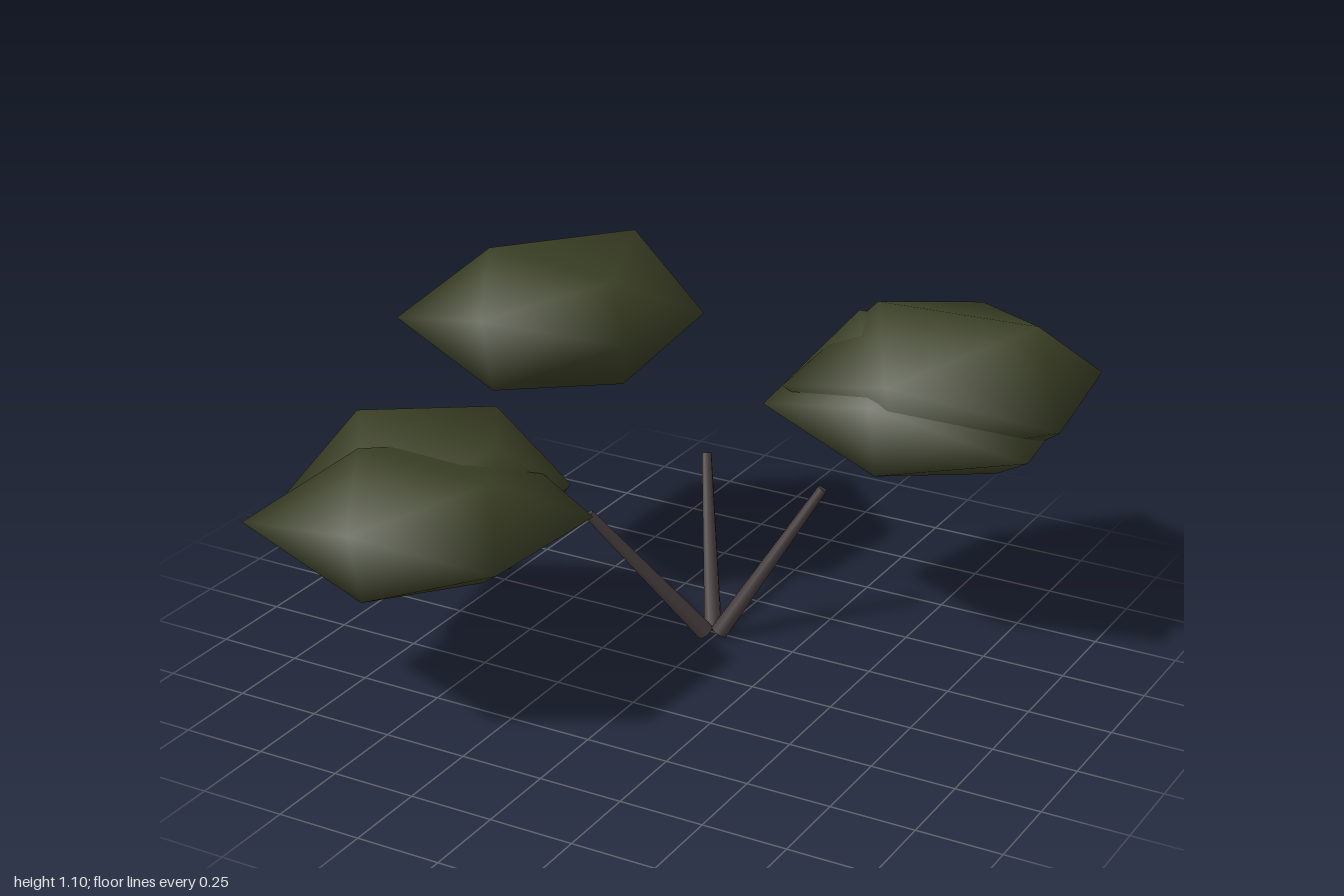
import * as THREE from 'three';
import { mergeVertices } from 'three/addons/utils/BufferGeometryUtils.js';
import { ConvexGeometry } from 'three/addons/geometries/ConvexGeometry.js';

const leafGreen = new THREE.MeshStandardMaterial({ color: 0x393e24 });
leafGreen.name = 'leafGreen';
const bark = new THREE.MeshStandardMaterial({ color: 0x433a3b });
bark.name = 'bark';

// Flattened, irregular icosahedron with smooth normals.
// sides: four [x, y, z] corners; front/back: [x, z, yHigh, yLow]; ridge/keel: two [x, y] at depth z.
function clump(name, { sides, front, back, ridge, keel, z }) {
  const points = sides.map((p) => new THREE.Vector3(...p));
  for (const [x, pz, hi, lo] of [front, back]) {
    points.push(new THREE.Vector3(x, hi, pz), new THREE.Vector3(x, lo, pz + (z - pz) * 0.14));
  }
  for (const [x, y] of [...ridge, ...keel]) points.push(new THREE.Vector3(x, y, z));
  let geometry = new ConvexGeometry(points);
  geometry.deleteAttribute('normal');
  geometry = mergeVertices(geometry);
  geometry.computeVertexNormals();
  const mesh = new THREE.Mesh(geometry, leafGreen);
  mesh.name = name;
  return mesh;
}

// Tapered stem between two points
function stem(name, from, to) {
  const a = new THREE.Vector3(...from);
  const b = new THREE.Vector3(...to);
  const axis = b.clone().sub(a);
  const mesh = new THREE.Mesh(new THREE.CylinderGeometry(0.015, 0.027, axis.length(), 8), bark);
  mesh.position.copy(a).add(b).multiplyScalar(0.5);
  mesh.quaternion.setFromUnitVectors(new THREE.Vector3(0, 1, 0), axis.normalize());
  mesh.name = name;
  return mesh;
}

export function createModel() {
  const model = new THREE.Group();
  model.name = 'shrub';

  // Three stems spreading from one root
  model.add(
    stem('frontStem', [-0.02, 0.018, -0.21], [-0.285, 0.43, 0.01]),
    stem('backStem', [-0.01, 0.015, -0.24], [-0.15, 0.478, -0.45]),
    stem('leftStem', [0.015, 0.018, -0.23], [0.27, 0.478, -0.385])
  );

  // High clump at the back right
  model.add(clump('highFoliage', {
    sides: [[-0.91, 0.93, 0.04], [-0.9, 0.93, -0.45], [-0.15, 0.93, -0.43], [-0.2, 0.94, -0.06]],
    front: [-0.51, 0.21, 1.05, 0.82],
    back: [-0.51, -0.65, 1.06, 0.83],
    ridge: [[-0.74, 1.1], [-0.32, 1.07]],
    keel: [[-0.73, 0.78], [-0.29, 0.76]],
    z: -0.2,
  }));

  // Low overlapping pair at the front right
  model.add(clump('lowFoliageInner', {
    sides: [[-1, 0.58, 0.1], [-0.915, 0.59, 0.6], [-0.24, 0.6, 0.18], [-0.14, 0.6, 0.72]],
    front: [-0.5, 0.8, 0.69, 0.49],
    back: [-0.6, 0, 0.7, 0.48],
    ridge: [[-0.82, 0.78], [-0.36, 0.76]],
    keel: [[-0.76, 0.43], [-0.32, 0.4]],
    z: 0.38,
  }), clump('lowFoliageOuter', {
    sides: [[-0.86, 0.6, 0.42], [-0.89, 0.6, 0.84], [-0.07, 0.6, 0.34], [-0.1, 0.6, 0.79]],
    front: [-0.45, 0.965, 0.71, 0.49],
    back: [-0.45, 0.2, 0.7, 0.5],
    ridge: [[-0.68, 0.765], [-0.25, 0.75]],
    keel: [[-0.68, 0.45], [-0.28, 0.45]],
    z: 0.58,
  }));

  // Overlapping pair at the back left
  model.add(clump('leftFoliageUpper', {
    sides: [[0.15, 0.79, -0.35], [0.28, 0.8, -0.82], [0.93, 0.81, -0.85], [1, 0.81, -0.37]],
    front: [0.55, -0.19, 0.92, 0.68],
    back: [0.5, -0.965, 0.91, 0.7],
    ridge: [[0.32, 0.99], [0.82, 1.005]],
    keel: [[0.35, 0.6], [0.74, 0.58]],
    z: -0.62,
  }), clump('leftFoliageLower', {
    sides: [[0.1, 0.73, -0.33], [0.2, 0.74, -0.74], [0.89, 0.74, -0.74], [0.945, 0.74, -0.28]],
    front: [0.5, -0.19, 0.85, 0.62],
    back: [0.57, -0.965, 0.85, 0.62],
    ridge: [[0.28, 0.97], [0.74, 0.94]],
    keel: [[0.26, 0.56], [0.73, 0.55]],
    z: -0.58,
  }));

  return model;
}
